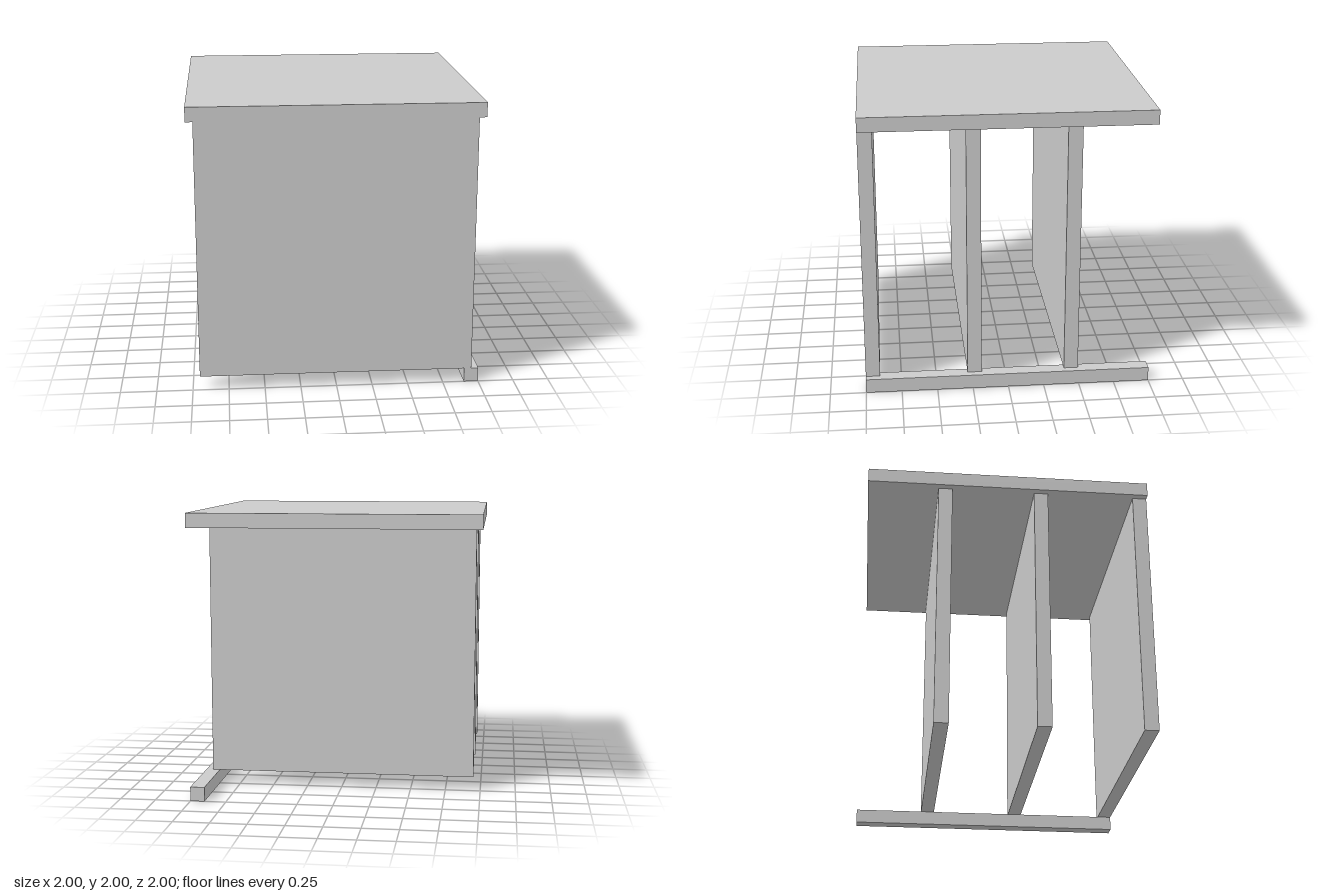
import * as THREE from 'three';

export function createModel() {
  const model = new THREE.Group();
  const material = new THREE.MeshStandardMaterial({ color: 0xcccccc });
  const T = 0.1; // board thickness

  function board(name, size, position) {
    const mesh = new THREE.Mesh(new THREE.BoxGeometry(...size), material);
    mesh.name = name;
    mesh.position.set(...position);
    model.add(mesh);
  }

  // Square top slab
  board('top', [2, T, 2], [0, 2 - T / 2, 0]);

  // Upright panels: front, middle and rear
  const panels = { frontPanel: 0.95, middlePanel: 0.235, rearPanel: -0.45 };
  for (const [name, z] of Object.entries(panels)) {
    board(name, [1.9, 2 - 2 * T, T], [0, 1, z]);
  }

  // Single floor rail running front to back under one edge of the panels
  board('floorRail', [T, T, 2], [1 - T / 2, T / 2, 0]);

  return model;
}
